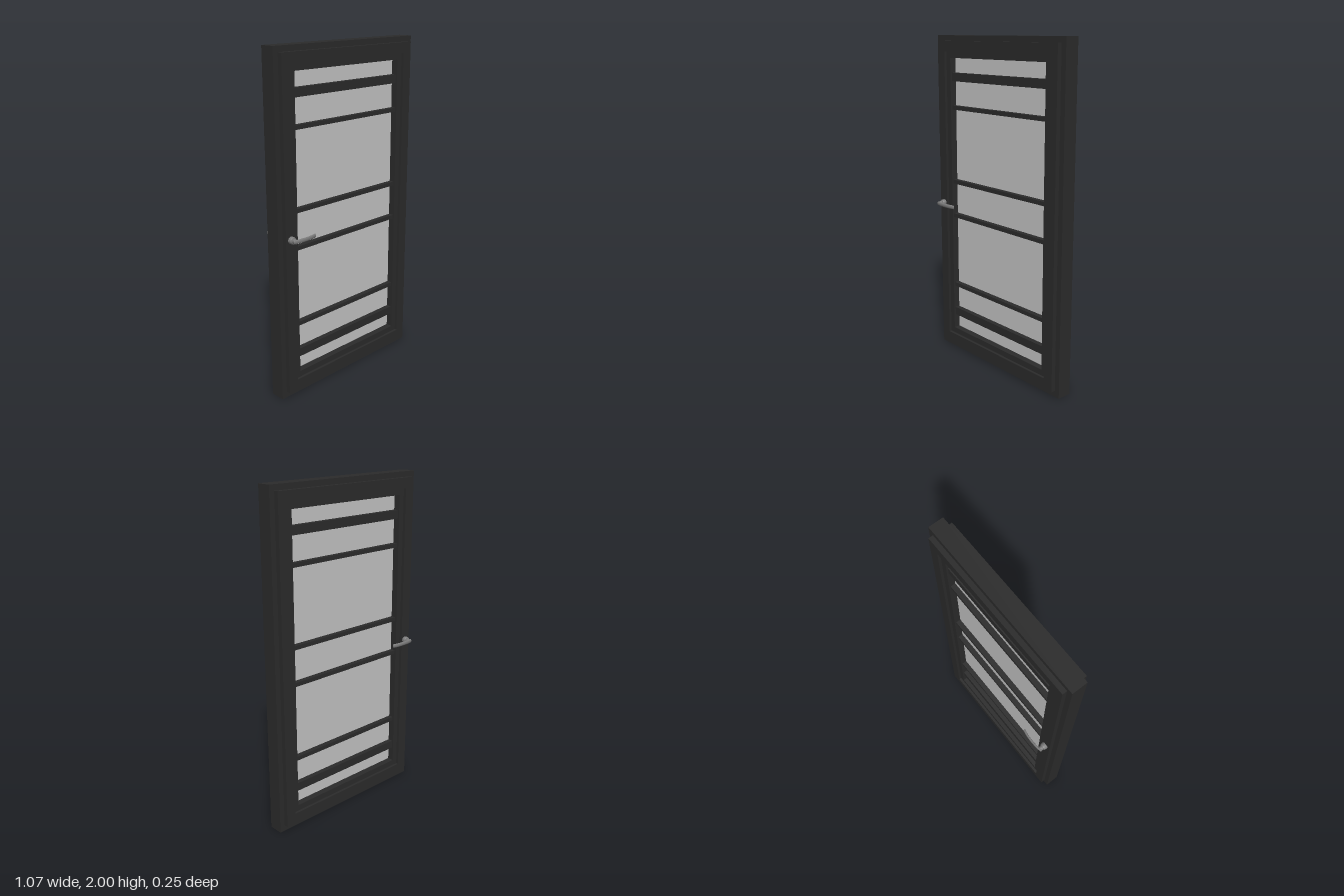
import * as THREE from 'three';

function material(name, color) {
  const m = new THREE.MeshStandardMaterial({ color });
  m.name = name;
  return m;
}

// Closed rectangular ring, symmetric about z = 0; box = [halfWidth, bottom, top]
function ring(name, outer, inner, halfDepth, mat) {
  const corners = ([w, b, t]) => [[-w, b], [w, b], [w, t], [-w, t]].map(p => new THREE.Vector2(...p));
  const shape = new THREE.Shape(corners(outer));
  shape.holes.push(new THREE.Path(corners(inner).reverse()));
  const geo = new THREE.ExtrudeGeometry(shape, { depth: halfDepth * 2, bevelEnabled: false });
  geo.translate(0, 0, -halfDepth);
  const mesh = new THREE.Mesh(geo, mat);
  mesh.name = name;
  return mesh;
}

// Lever handle on a stepped round rose, pointing out along +z
function makeHandle(name, metal) {
  const handle = new THREE.Group();
  handle.name = name;

  const profile = [[0, 0.066], [0.021, 0.066], [0.021, 0.086], [0.018, 0.094],
    [0.0135, 0.095], [0.0135, 0.112], [0, 0.112]];
  // Doubled points keep the steps sharp
  const points = profile.flatMap(p => [new THREE.Vector2(...p), new THREE.Vector2(...p)]);
  const rose = new THREE.Mesh(new THREE.LatheGeometry(points, 28).rotateX(Math.PI / 2), metal);
  rose.name = 'rose';
  rose.position.x = -0.468;

  const lever = new THREE.Group();
  lever.name = 'lever';
  const path = [[-0.478, 0.112], [-0.45, 0.1165], [-0.4, 0.1185], [-0.36, 0.1165], [-0.328, 0.111]]
    .map(([x, z]) => new THREE.Vector3(x, 0, z));
  const grip = new THREE.Mesh(
    new THREE.TubeGeometry(new THREE.CatmullRomCurve3(path), 24, 0.006, 14), metal);
  grip.name = 'grip';
  lever.add(grip);
  for (const end of [path[0], path[path.length - 1]]) {
    const cap = new THREE.Mesh(new THREE.SphereGeometry(0.006, 14, 10), metal);
    cap.name = 'leverEnd';
    cap.position.copy(end);
    lever.add(cap);
  }
  lever.scale.y = 2;

  handle.add(rose, lever);
  handle.position.y = 0.97;
  return handle;
}

export function createModel() {
  const model = new THREE.Group();
  model.name = 'glazedDoor';
  const dark = material('charcoal', 0x2b2b2b);
  const pane = material('paleGlass', 0xc4c4c4);
  const metal = material('greyMetal', 0x7c7c7c);

  // Fixed outer frame, thicker leaf and recessed glazing bead
  model.add(
    ring('outerFrame', [0.536, 0, 2], [0.49, 0.05, 1.955], 0.044, dark),
    ring('leaf', [0.504, 0.037, 1.968], [0.441, 0.1, 1.905], 0.071, dark),
    ring('glazingBead', [0.445, 0.096, 1.909], [0.405, 0.136, 1.869], 0.055, dark));

  // Glass pane
  const glass = new THREE.Mesh(new THREE.BoxGeometry(0.82, 1.745, 0.03), pane);
  glass.name = 'glass';
  glass.position.y = 1.0025;
  model.add(glass);

  // Horizontal glazing bars: [centre height, bar height]
  const bars = [[0.25, 0.05], [0.435, 0.024], [0.895, 0.024],
    [1.112, 0.024], [1.572, 0.024], [1.756, 0.05]];
  for (const [y, height] of bars) {
    const bar = new THREE.Mesh(new THREE.BoxGeometry(0.82, height, 0.09), dark);
    bar.name = 'glazingBar';
    bar.position.y = y;
    model.add(bar);
  }

  // Handles on both faces
  const back = makeHandle('backHandle', metal);
  back.rotation.x = Math.PI;
  model.add(makeHandle('frontHandle', metal), back);
  return model;
}
